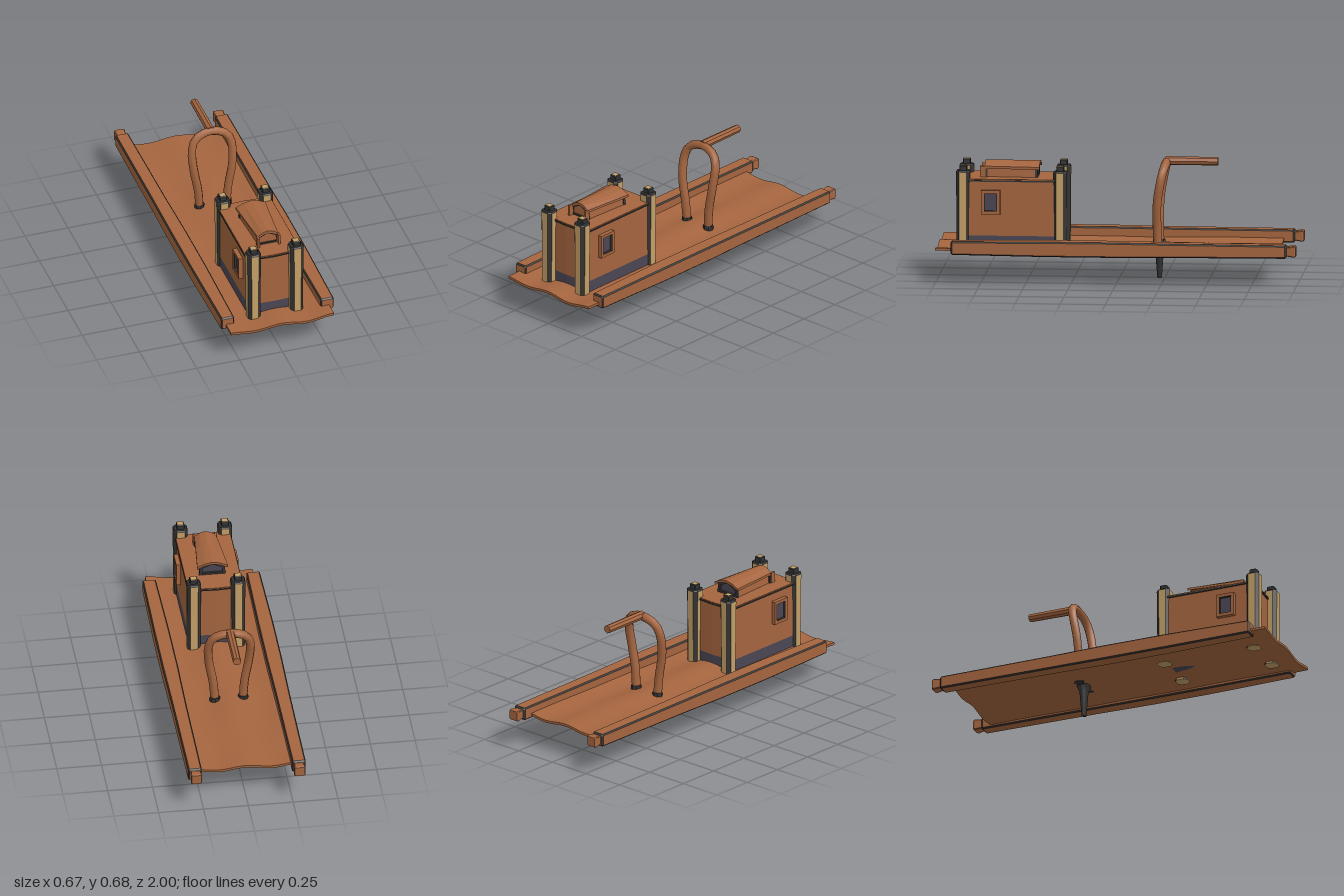
import * as THREE from 'three';

const mat = (color, flat = true) =>
  new THREE.MeshStandardMaterial({ color, flatShading: flat, side: THREE.DoubleSide });
const BROWN = mat(0xa5653f), SMOOTH = mat(0xa5653f, false), TAN = mat(0xc4a068);
const DARK = mat(0x343434), DARKSMOOTH = mat(0x343434, false), SLATE = mat(0x4a4654);

function add(parent, name, geo, material, x = 0, y = 0, z = 0) {
  const m = new THREE.Mesh(geo, material);
  m.name = name;
  m.position.set(x, y, z);
  parent.add(m);
  return m;
}

function fromTriangles(pos) {
  const g = new THREE.BufferGeometry();
  g.setAttribute('position', new THREE.Float32BufferAttribute(pos, 3));
  g.computeVertexNormals();
  return g;
}

const quad = (out, a, b, c, d) => out.push(...a, ...b, ...c, ...a, ...c, ...d);

// Beam along z with chamfered corners; chamfers and flagged stretches take the trim material.
// Each station is [z, halfWidth, halfHeight, chamfer, trimUntilNext].
function chamferBeam(name, stations, main, trim) {
  const rings = stations.map(([z, w, h, c]) => [
    [w, c - h, z], [w, h - c, z], [w - c, h, z], [c - w, h, z],
    [-w, h - c, z], [-w, c - h, z], [c - w, -h, z], [w - c, -h, z]]);
  const a = [], b = [];
  for (let s = 0; s < rings.length - 1; s++) {
    for (let i = 0; i < 8; i++) {
      const j = (i + 1) % 8, r = rings[s], q = rings[s + 1];
      quad(i % 2 || stations[s][4] ? b : a, r[i], r[j], q[j], q[i]);
    }
  }
  const first = rings[0], last = rings[rings.length - 1];
  for (let i = 1; i < 7; i++) {
    a.push(...first[0], ...first[i + 1], ...first[i]);
    a.push(...last[0], ...last[i], ...last[i + 1]);
  }
  const g = new THREE.Group();
  g.name = name;
  add(g, name + 'Faces', fromTriangles(a), main);
  add(g, name + 'Edges', fromTriangles(b), trim);
  return g;
}

// Closed loft between two counter-clockwise sections, running towards +z
function loft(back, front) {
  const out = [], n = back.length;
  for (let i = 0; i < n; i++) {
    const j = (i + 1) % n;
    quad(out, back[i], back[j], front[j], front[i]);
  }
  for (const [s, flip] of [[back, true], [front, false]]) {
    const v = s.map(p => new THREE.Vector2(p[0], p[1]));
    for (const [i, j, k] of THREE.ShapeUtils.triangulateShape(v, [])) {
      out.push(...s[i], ...s[flip ? k : j], ...s[flip ? j : k]);
    }
  }
  return fromTriangles(out);
}

// Flat frame with a rectangular or gabled opening
function frame(outer, inner, depth) {
  const s = new THREE.Shape(outer.map(p => new THREE.Vector2(...p)));
  s.holes.push(new THREE.Path(inner.map(p => new THREE.Vector2(...p))));
  return new THREE.ExtrudeGeometry(s, { depth, bevelEnabled: false });
}
const rect = (w, h) => [[-w, -h], [w, -h], [w, h], [-w, h]];

function makeDeck() {
  const geo = new THREE.BoxGeometry(0.6, 0.014, 1.89, 32, 1, 36);
  const p = geo.attributes.position;
  for (let i = 0; i < p.count; i++) {
    const x = p.getX(i), z = p.getZ(i) + 0.055;
    const wave = 0.008 * Math.cos(x * 21) + 0.003 * Math.sin(z * 7) * Math.sin(x * 16 + z * 3);
    p.setXYZ(i, x, 0.179 + p.getY(i) + wave, z);
  }
  geo.computeVertexNormals();
  return geo;
}

function makeCabin() {
  const g = new THREE.Group();
  g.name = 'cabin';
  // Footprint with slightly bowed ends
  const prism = (w, zb, zf, bow, y0, y1) => {
    const s = new THREE.Shape([[-w, -zf], [0, -zf - bow], [w, -zf], [w, -zb], [0, -zb + bow], [-w, -zb]]
      .map(p => new THREE.Vector2(...p)));
    return new THREE.ExtrudeGeometry(s, { depth: y1 - y0, bevelEnabled: false })
      .rotateX(-Math.PI / 2).translate(0, y0, 0);
  };
  add(g, 'cabinBase', prism(0.149, 0.325, 0.845, 0.006, 0.18, 0.245), SLATE);
  add(g, 'cabinWalls', prism(0.149, 0.325, 0.845, 0.006, 0.245, 0.549), BROWN);
  add(g, 'roofTrim', prism(0.156, 0.318, 0.852, 0.008, 0.547, 0.555), DARK);
  add(g, 'roof', prism(0.153, 0.321, 0.849, 0.008, 0.555, 0.561), BROWN);

  for (const sx of [-1, 1]) {
    // Corner posts with stepped caps
    for (const z of [0.32, 0.858]) {
      const post = chamferBeam('cornerPost', [
        [0.16, 0.036, 0.036, 0.016, 0], [0.4, 0.037, 0.037, 0.017, 0], [0.6, 0.04, 0.039, 0.018, 1],
        [0.607, 0.034, 0.034, 0.012, 1], [0.608, 0.021, 0.021, 0.003, 1],
        [0.632, 0.021, 0.021, 0.003, 1], [0.636, 0.017, 0.017, 0.003, 0]], TAN, DARK);
      post.rotation.x = -Math.PI / 2;
      post.position.set(sx * 0.124, 0, z);
      g.add(post);
    }
    // Side windows
    const win = new THREE.Group();
    win.name = 'sideWindow';
    add(win, 'windowFrame', frame(rect(0.053, 0.067), rect(0.036, 0.05), 0.024), BROWN);
    add(win, 'windowTrim', frame(rect(0.039, 0.053), rect(0.034, 0.048), 0.021), DARK);
    add(win, 'windowPane', new THREE.BoxGeometry(0.074, 0.102, 0.008), SLATE, 0, 0, 0.004);
    win.position.set(sx * 0.15, 0.434, 0.703);
    win.rotation.y = sx * Math.PI / 2;
    g.add(win);
  }
  return g;
}

function makeHatch() {
  const g = new THREE.Group();
  g.name = 'roofHatch';
  const gable = (w, z) => [[-w, 0.56, z], [w, 0.56, z], [w * 0.92, 0.612, z], [0, 0.636, z], [-w * 0.92, 0.612, z]];
  add(g, 'hatchBody', loft(gable(0.07, 0.465), gable(0.056, 0.735)), BROWN);
  // Overhanging gabled lid
  const lid = (w, z, t) => [
    [-w, 0.606, z], [-w * 0.5, 0.626, z], [0, 0.634, z], [w * 0.5, 0.626, z], [w, 0.606, z],
    [w, 0.606 + t, z], [w * 0.5, 0.626 + t, z], [0, 0.634 + t, z], [-w * 0.5, 0.626 + t, z], [-w, 0.606 + t, z]];
  add(g, 'hatchLid', loft(lid(0.086, 0.44, 0.014), lid(0.06, 0.745, 0.014)), BROWN);
  // Dark frames at both ends
  const flat = (w, top, low) => [[-w, low], [w, low], [w * 0.92, top - 0.024], [0, top], [-w * 0.92, top - 0.024]];
  add(g, 'frontFrame', frame(flat(0.064, 0.638, 0.559), flat(0.054, 0.63, 0.57), 0.012), DARK, 0, 0, 0.73);
  add(g, 'backFrame', frame(flat(0.074, 0.64, 0.559), flat(0.058, 0.628, 0.572), 0.015), DARK, 0, 0, 0.45);
  add(g, 'backPanel', new THREE.ShapeGeometry(
    new THREE.Shape(flat(0.06, 0.63, 0.57).map(p => new THREE.Vector2(...p)))), SLATE, 0, 0, 0.462);
  for (const sx of [-1, 1]) {
    add(g, 'hatchPost', new THREE.BoxGeometry(0.012, 0.06, 0.03), BROWN, sx * 0.06, 0.591, 0.755);
  }
  return g;
}

function makeTiller() {
  const g = new THREE.Group();
  g.name = 'tiller';
  const side = [[0.078, 0.17, -0.217], [0.088, 0.3, -0.213], [0.112, 0.44, -0.216],
    [0.116, 0.56, -0.236], [0.09, 0.62, -0.25]];
  const pts = [...side, [0, 0.65, -0.26], ...side.slice().reverse().map(([x, y, z]) => [-x, y, z])];
  const curve = new THREE.CatmullRomCurve3(pts.map(p => new THREE.Vector3(...p)));
  add(g, 'tillerArch', new THREE.TubeGeometry(curve, 28, 0.024, 8), SMOOTH);
  add(g, 'tillerHandle', new THREE.CylinderGeometry(0.023, 0.025, 0.29, 8).rotateX(-Math.PI / 2), BROWN,
    0, 0.654, -0.4);
  for (const sx of [-1, 1]) {
    add(g, 'tillerFoot', new THREE.CylinderGeometry(0.028, 0.03, 0.035, 8), DARK, sx * 0.079, 0.188, -0.217);
  }
  return g;
}

export function createModel() {
  const model = new THREE.Group();
  model.name = 'raft';
  add(model, 'deck', makeDeck(), SMOOTH);

  // Side rails, a little thicker amidships, with end blocks at the stern
  for (const sx of [-1, 1]) {
    const rail = chamferBeam('sideRail', [
      [-0.95, 0.03, 0.028, 0.004, 1], [-0.94, 0.038, 0.036, 0.007, 0], [-0.3, 0.04, 0.039, 0.007, 0],
      [0.05, 0.044, 0.042, 0.007, 0], [0.4, 0.044, 0.042, 0.007, 0],
      [0.905, 0.038, 0.037, 0.007, 1], [0.913, 0.032, 0.03, 0.004, 0]], BROWN, DARK);
    rail.position.set(sx * 0.29, 0.199, 0);
    model.add(rail);
    const block = chamferBeam('railEndBlock', [
      [-1, 0.027, 0.027, 0.004, 0], [-0.99, 0.031, 0.031, 0.004, 0], [-0.945, 0.025, 0.025, 0.004, 0]], BROWN, BROWN);
    block.position.set(sx * 0.288, 0.2, 0);
    model.add(block);
  }

  model.add(makeCabin(), makeHatch(), makeTiller());

  // Tapered fin under the stern
  const profile = [[0, 0], [0.017, 0], [0.031, 0.14], [0.05, 0.178]].map(p => new THREE.Vector2(...p));
  const fin = add(model, 'rudderFin', new THREE.LatheGeometry(profile, 12), DARKSMOOTH, 0, 0, -0.22);
  fin.scale.z = 0.75;
  return model;
}
